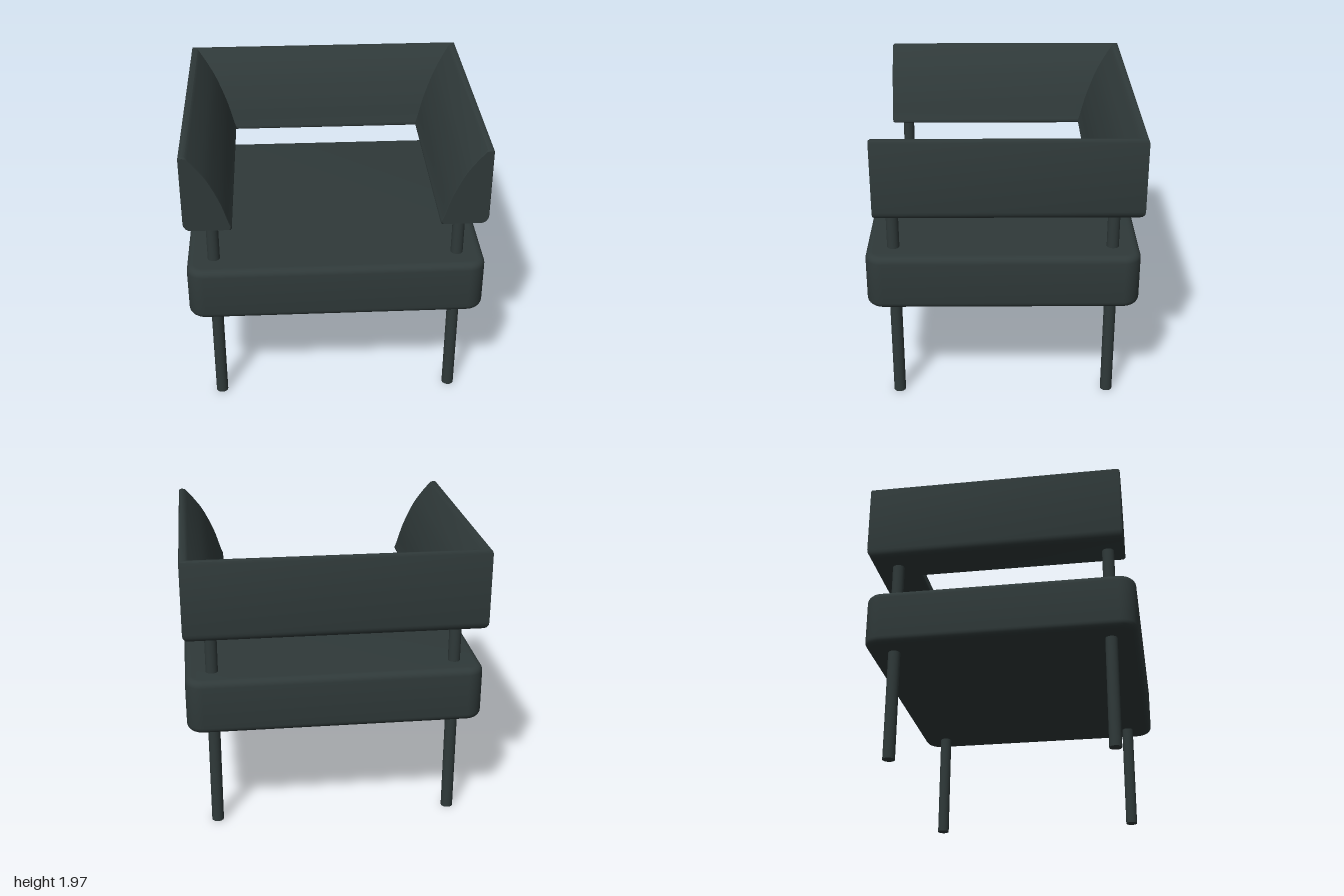
import * as THREE from 'three';
import { toCreasedNormals } from 'three/addons/utils/BufferGeometryUtils.js';

const upholstery = new THREE.MeshStandardMaterial({ color: 0x2f3939 });
upholstery.name = 'dark green grey';

function part(name, geometry) {
  const mesh = new THREE.Mesh(geometry, upholstery);
  mesh.name = name;
  return mesh;
}

// Soft slab with rounded plan corners and rounded rims
function seatGeometry() {
  const bevel = 0.045, r = 0.07, w = 1 - bevel, d = 0.91 - bevel;
  const s = new THREE.Shape();
  s.moveTo(-w + r, -d);
  s.lineTo(w - r, -d);
  s.absarc(w - r, -d + r, r, -Math.PI / 2, 0);
  s.lineTo(w, d - r);
  s.absarc(w - r, d - r, r, 0, Math.PI / 2);
  s.lineTo(-w + r, d);
  s.absarc(-w + r, d - r, r, Math.PI / 2, Math.PI);
  s.lineTo(-w, -d + r);
  s.absarc(-w + r, -d + r, r, Math.PI, Math.PI * 1.5);
  const g = new THREE.ExtrudeGeometry(s, {
    depth: 0.38 - 2 * bevel, bevelEnabled: true, bevelSize: bevel,
    bevelThickness: bevel, bevelSegments: 5, curveSegments: 6,
  });
  g.rotateX(-Math.PI / 2);
  g.translate(0, 0.76 + bevel, 0);
  return toCreasedNormals(g, 0.7);
}

// Cushion profile (inward depth, height) swept around three sides with mitred corners
function backrestGeometry() {
  const inner = new THREE.SplineCurve([
    [0.045, 1.965], [0.11, 1.89], [0.18, 1.79], [0.255, 1.63], [0.3, 1.49], [0.317, 1.445],
  ].map(([x, y]) => new THREE.Vector2(x, y))).getPoints(16);
  const profile = [
    [0.015, 1.435], [0.003, 1.455], [0, 1.475], [0, 1.95], [0.005, 1.964], [0.02, 1.97],
    ...inner.map((p) => [p.x, p.y]), [0.316, 1.43], [0.304, 1.42], [0.05, 1.42], [0.03, 1.424],
  ];
  const n = profile.length, cd = 0.14, cy = 1.65;
  const shrunk = profile.map(([d, y]) => [cd + (d - cd) * 0.96, cy + (y - cy) * 0.97]);
  const rings = [
    shrunk.map(([d, y]) => [1 - d, y, 0.84]),
    profile.map(([d, y]) => [1 - d, y, 0.828]),
    profile.map(([d, y]) => [1 - d, y, -0.91 + d]),
    profile.map(([d, y]) => [-1 + d, y, -0.91 + d]),
    profile.map(([d, y]) => [-1 + d, y, 0.828]),
    shrunk.map(([d, y]) => [-1 + d, y, 0.84]),
  ];
  const pos = [];
  const tri = (a, b, c) => pos.push(...a, ...b, ...c);
  for (let j = 0; j < n; j++) {
    const k = (j + 1) % n;
    for (let i = 0; i < rings.length - 1; i++) {
      const p = rings[i], q = rings[i + 1];
      tri(p[j], q[j], q[k]);
      tri(p[j], q[k], p[k]);
    }
    // Flat arm ends
    tri([1 - cd, cy, 0.84], rings[0][j], rings[0][k]);
    tri([-1 + cd, cy, 0.84], rings[5][k], rings[5][j]);
  }
  const g = new THREE.BufferGeometry();
  g.setAttribute('position', new THREE.Float32BufferAttribute(pos, 3));
  return toCreasedNormals(g, 0.7);
}

export function createModel() {
  const chair = new THREE.Group();
  chair.name = 'armchair';
  chair.add(part('seat', seatGeometry()), part('backAndArms', backrestGeometry()));

  // Posts run from the floor through the seat into the back cushion
  const legGeometry = new THREE.CylinderGeometry(0.041, 0.041, 1.5, 24);
  for (const [side, x] of [['Left', 0.82], ['Right', -0.82]]) {
    for (const [end, z] of [['front', 0.73], ['back', -0.73]]) {
      const leg = part(`${end}${side}Leg`, legGeometry);
      leg.position.set(x, 0.75, z);
      chair.add(leg);
    }
  }
  return chair;
}
